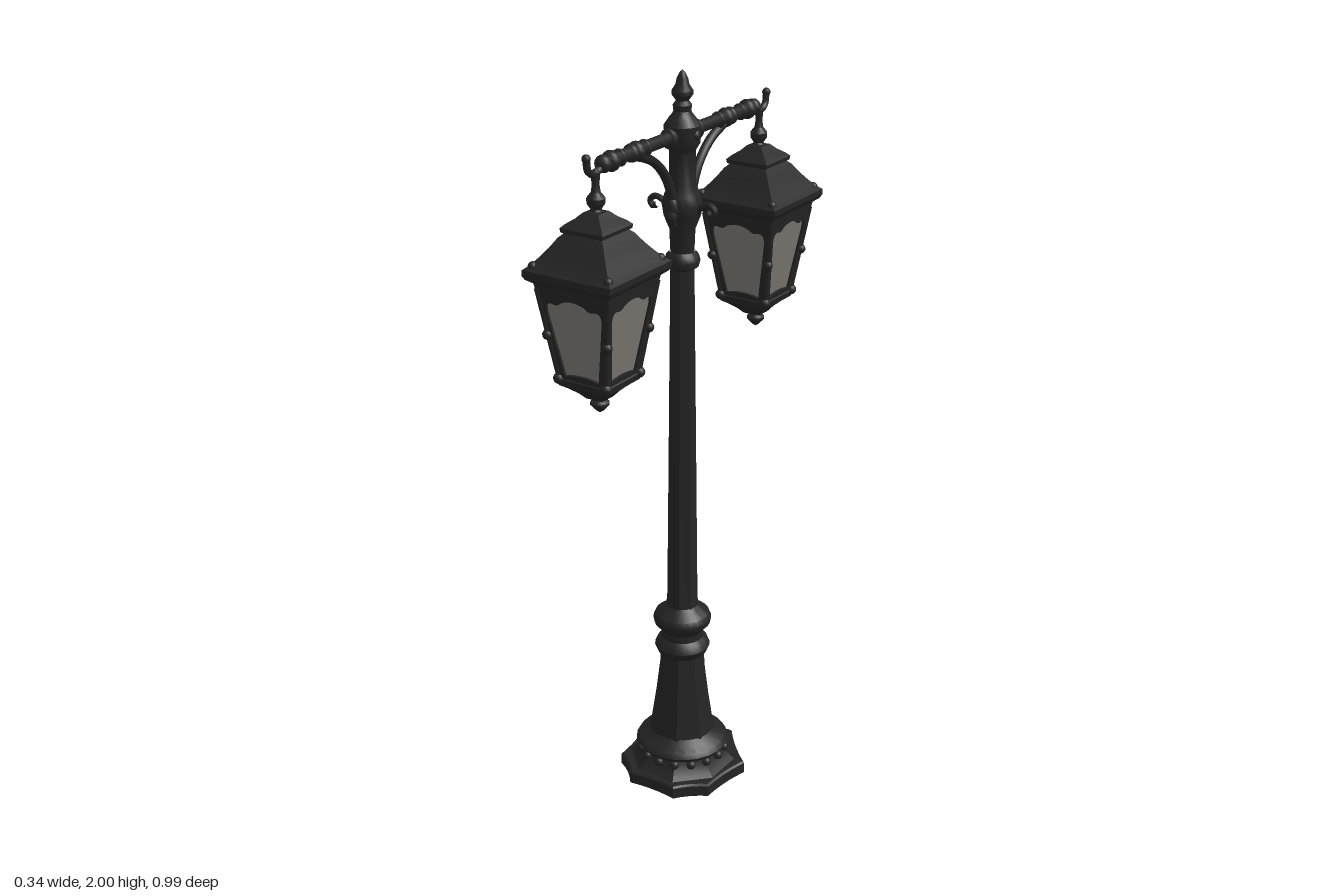
import * as THREE from 'three';
import { toCreasedNormals } from 'three/addons/utils/BufferGeometryUtils.js';

const iron = new THREE.MeshStandardMaterial({ color: 0x242424 });
iron.name = 'black iron';
const glass = new THREE.MeshStandardMaterial({ color: 0x7a7772 });
glass.name = 'frosted glass';

const V = (x, y, z) => new THREE.Vector3(x, y, z);

function add(parent, name, geometry, material = iron, x = 0, y = 0, z = 0) {
  const mesh = new THREE.Mesh(geometry, material);
  mesh.name = name;
  mesh.position.set(x, y, z);
  parent.add(mesh);
  return mesh;
}

// Turned profile of [radius, y] pairs, bottom to top
function turned(profile, sides = 24, crease = 0.6) {
  const pts = profile.map(([r, y]) => new THREE.Vector2(r, y));
  return toCreasedNormals(new THREE.LatheGeometry(pts, sides, Math.PI / sides), crease);
}

// Square section profile of [half width, y] pairs
const square = (profile) => turned(profile.map(([h, y]) => [h * Math.SQRT2, y]), 4, 0.35);

function tube(points, radius, steps = 24) {
  return new THREE.TubeGeometry(new THREE.CatmullRomCurve3(points), steps, radius, 8);
}

function ball(parent, name, r, x, y, z, sx = 1, sy = 1, sz = 1) {
  add(parent, name, new THREE.SphereGeometry(r, 12, 8), iron, x, y, z).scale.set(sx, sy, sz);
}

// Pointed foot plate with hollow sides
function footPlate() {
  const half = [[0.05, 0.178], [0.165, 0.058], [0.143, -0.09], [0.07, -0.153]];
  const pts = [...half, ...half.slice().reverse().map(([x, y]) => [-x, y])];
  const shape = new THREE.Shape();
  shape.moveTo(...pts[0]);
  pts.forEach(([x, y], i) => {
    const [nx, ny] = pts[(i + 1) % pts.length];
    shape.quadraticCurveTo((x + nx) * 0.465, (y + ny) * 0.465, nx, ny);
  });
  const geo = new THREE.ExtrudeGeometry(shape, {
    depth: 0.03, bevelThickness: 0.005, bevelSize: 0.005, bevelSegments: 1, curveSegments: 5,
  });
  geo.translate(0, 0, 0.005);
  geo.rotateX(-Math.PI / 2);
  return toCreasedNormals(geo, 0.5);
}

function buildPost(root) {
  const post = new THREE.Group();
  post.name = 'post';
  root.add(post);
  add(post, 'footPlate', footPlate());
  add(post, 'footSlope', turned([[0.155, 0.035], [0.14, 0.048], [0.122, 0.07], [0.115, 0.09]], 8, 0.4));
  add(post, 'footRing', turned([[0.11, 0.085], [0.122, 0.09], [0.13, 0.102], [0.122, 0.115],
    [0.1, 0.125], [0.088, 0.14]]));
  for (let i = 0; i < 16; i++) {
    const a = (i / 16) * Math.PI * 2;
    ball(post, 'footBead', 0.013, Math.cos(a) * 0.119, 0.078, Math.sin(a) * 0.119);
  }
  add(post, 'pedestal', turned([[0.094, 0.12], [0.086, 0.17], [0.074, 0.25], [0.063, 0.34], [0.06, 0.4]], 8, 0.4));
  add(post, 'pedestalRings', turned([[0.055, 0.375], [0.069, 0.388], [0.076, 0.405], [0.069, 0.422], [0.058, 0.432],
    [0.057, 0.452], [0.065, 0.462], [0.077, 0.475], [0.08, 0.49], [0.074, 0.505], [0.055, 0.518], [0.043, 0.53]]));
  add(post, 'shaft', turned([[0.046, 0.51], [0.042, 0.56], [0.031, 1.52]], 8, 0.4));
  add(post, 'shaftCollar', turned([[0.03, 1.495], [0.042, 1.503], [0.046, 1.518], [0.042, 1.532], [0.033, 1.542]]));
  add(post, 'head', turned([[0.03, 1.53], [0.033, 1.6], [0.047, 1.635], [0.052, 1.665], [0.046, 1.69],
    [0.034, 1.715], [0.033, 1.8], [0.045, 1.82], [0.046, 1.865], [0.034, 1.883], [0.024, 1.895]], 16));
  add(post, 'topFinial', turned([[0.03, 1.885], [0.022, 1.9], [0.024, 1.915], [0.016, 1.925], [0.027, 1.94],
    [0.027, 1.95], [0.017, 1.965], [0.014, 1.98], [0.006, 1.995], [0, 2]], 16));
  for (const s of [-1, 1]) {
    // Small scrolls at the sides of the head
    add(post, 'sideScroll', tube([V(s * 0.03, 1.63, 0), V(s * 0.055, 1.662, 0), V(s * 0.08, 1.672, 0),
      V(s * 0.097, 1.66, 0), V(s * 0.088, 1.645, 0), V(s * 0.075, 1.652, 0)], 0.008));
    ball(post, 'headBoss', 0.02, 0, 1.665, s * 0.048, 0.9, 1.5, 0.8);
    ball(post, 'headKnob', 0.016, s * 0.035, 1.843, 0);
  }
}

// One arm, reaching toward +z
function buildArm() {
  const arm = new THREE.Group();
  arm.name = 'arm';
  add(arm, 'armBar', tube([V(0, 1.843, 0), V(0, 1.843, 0.15), V(0, 1.843, 0.33)], 0.017));
  add(arm, 'armHook', tube([V(0, 1.843, 0.31), V(0, 1.834, 0.345), V(0, 1.826, 0.375),
    V(0, 1.838, 0.396), V(0, 1.868, 0.402)], 0.009));
  add(arm, 'armBrace', tube([V(0, 1.62, 0.038), V(0, 1.69, 0.047), V(0, 1.75, 0.075), V(0, 1.798, 0.125),
    V(0, 1.825, 0.185), V(0, 1.835, 0.23)], 0.012));
  // Turned swellings along the bar
  for (const [z, r, len] of [[0.06, 0.026, 0.5], [0.165, 0.022, 0.5], [0.2, 0.025, 0.8], [0.222, 0.023, 0.7],
    [0.27, 0.022, 0.5], [0.305, 0.026, 0.8], [0.335, 0.022, 0.9]]) {
    ball(arm, 'armKnot', r, 0, 1.842, z, 1, 1, len);
  }
  ball(arm, 'braceLeaf', 0.02, 0, 1.645, 0.05, 0.8, 1.3, 0.8);
  ball(arm, 'hookTip', 0.011, 0, 1.868, 0.402);
  return arm;
}

// Lantern side frame with a scalloped opening
function sideFrame() {
  const frame = new THREE.Shape();
  frame.moveTo(-0.063, 0);
  frame.lineTo(0.063, 0);
  frame.lineTo(0.1, 0.235);
  frame.lineTo(-0.1, 0.235);
  const hole = new THREE.Path();
  hole.moveTo(0.05, 0.018);
  hole.quadraticCurveTo(0, 0.03, -0.05, 0.018);
  hole.lineTo(-0.079, 0.18);
  hole.quadraticCurveTo(-0.085, 0.212, -0.062, 0.21);
  hole.quadraticCurveTo(-0.045, 0.203, -0.035, 0.216);
  hole.quadraticCurveTo(0, 0.232, 0.035, 0.216);
  hole.quadraticCurveTo(0.045, 0.203, 0.062, 0.21);
  hole.quadraticCurveTo(0.085, 0.212, 0.079, 0.18);
  frame.holes.push(hole);
  return new THREE.ExtrudeGeometry(frame, { depth: 0.008, bevelEnabled: false, curveSegments: 5 });
}

function buildLantern() {
  const lantern = new THREE.Group();
  lantern.name = 'lantern';
  add(lantern, 'glassPanes', square([[0.063, 1.32], [0.098, 1.555]]), glass);
  add(lantern, 'roof', square([[0, 1.55], [0.104, 1.55], [0.108, 1.57], [0.122, 1.58], [0.127, 1.59], [0.127, 1.604],
    [0.115, 1.613], [0.098, 1.632], [0.08, 1.655], [0.065, 1.678], [0.052, 1.69]]));
  add(lantern, 'roofCap', square([[0.05, 1.685], [0.06, 1.69], [0.062, 1.7], [0.052, 1.71], [0.035, 1.722],
    [0.022, 1.735], [0, 1.74]]));
  add(lantern, 'hanger', turned([[0.02, 1.73], [0.013, 1.742], [0.022, 1.755], [0.023, 1.768], [0.012, 1.782],
    [0.009, 1.8], [0.012, 1.83], [0, 1.84]], 12));
  add(lantern, 'lowerTray', square([[0, 1.268], [0.024, 1.268], [0.036, 1.282], [0.055, 1.298], [0.07, 1.308],
    [0.074, 1.325], [0.066, 1.334], [0, 1.334]]));
  add(lantern, 'lowerFinial', turned([[0, 1.228], [0.009, 1.234], [0.024, 1.25], [0.024, 1.256], [0.015, 1.265],
    [0.026, 1.275]], 12));
  const panel = sideFrame();
  for (let i = 0; i < 4; i++) {
    const side = new THREE.Group();
    side.name = 'lanternSide';
    side.rotation.y = (i * Math.PI) / 2;
    lantern.add(side);
    add(side, 'sideFrame', panel, iron, 0, 1.32, 0.062).rotation.x = Math.atan(0.035 / 0.235);
    add(side, 'cornerPost', tube([V(0.066, 1.315, 0.066), V(0.102, 1.56, 0.102)], 0.008, 2));
    ball(side, 'postKnob', 0.013, 0.087, 1.44, 0.087);
    ball(side, 'trayKnob', 0.014, 0.07, 1.326, 0.07);
    ball(side, 'roofKnob', 0.012, 0.108, 1.612, 0.108);
  }
  return lantern;
}

export function createModel() {
  const root = new THREE.Group();
  root.name = 'streetLamp';
  buildPost(root);
  for (const turn of [0, Math.PI]) {
    const wing = new THREE.Group();
    wing.name = turn ? 'backLamp' : 'frontLamp';
    wing.rotation.y = turn;
    const lantern = buildLantern();
    lantern.position.z = 0.367;
    wing.add(buildArm(), lantern);
    root.add(wing);
  }
  return root;
}
